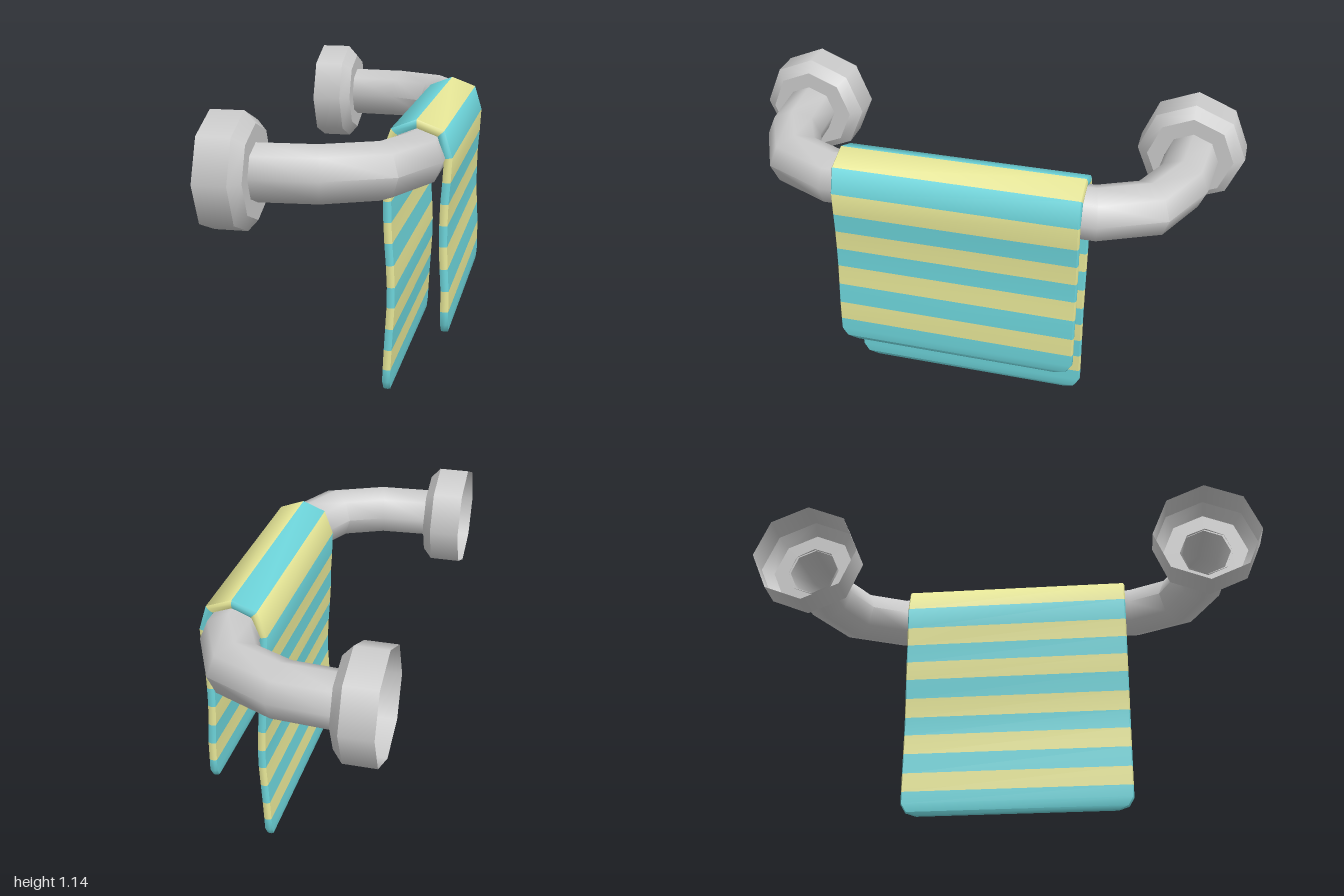
import * as THREE from 'three';
import { mergeGeometries, toCreasedNormals } from 'three/addons/utils/BufferGeometryUtils.js';

const grey = new THREE.MeshStandardMaterial({ color: 0xcccccc, side: THREE.DoubleSide });
const teal = new THREE.MeshStandardMaterial({ color: 0x6ed6dc });
const yellow = new THREE.MeshStandardMaterial({ color: 0xe8e898 });

// Sweep a cross-section along a path in the xy plane with mitred joints.
// section(i) returns [offset along the path normal, z] pairs, counter-clockwise.
function sweep(path, section, capped) {
  const pts = path.map(p => new THREE.Vector2(...p));
  const last = pts.length - 1;
  const dir = i => pts[i + 1].clone().sub(pts[i]).normalize();
  const rings = pts.map((p, i) => {
    const a = dir(Math.max(i - 1, 0)), b = dir(Math.min(i, last - 1));
    const t = a.clone().add(b).normalize();
    const miter = 1 / t.dot(a);
    return section(i).map(([n, z]) => [p.x - t.y * n * miter, p.y + t.x * n * miter, z]);
  });
  const out = [];
  const tri = (...corners) => corners.forEach(c => out.push(...c));
  const count = rings[0].length;
  for (let i = 0; i < last; i++) {
    for (let j = 0; j < count; j++) {
      const k = (j + 1) % count, A = rings[i], B = rings[i + 1];
      tri(A[j], A[k], B[k]);
      tri(A[j], B[k], B[j]);
    }
  }
  if (capped) {
    for (let j = 1; j < count - 1; j++) {
      tri(rings[0][0], rings[0][j + 1], rings[0][j]);
      tri(rings[last][0], rings[last][j], rings[last][j + 1]);
    }
  }
  const geo = new THREE.BufferGeometry();
  geo.setAttribute('position', new THREE.Float32BufferAttribute(out, 3));
  // enlarged while creasing so that close vertices stay distinct
  geo.scale(100, 100, 100);
  const creased = toCreasedNormals(geo, 0.95);
  creased.scale(0.01, 0.01, 0.01);
  return creased;
}

// Octagonal bar bending back to the wall at both ends
function makeBar() {
  const half = [[-0.24, 0.795], [-0.02, 0.78], [0.17, 0.692], [0.257, 0.505]];
  const path = [...half.map(([x, y]) => [x, -y]), ...half.slice().reverse()];
  const ring = [];
  for (let j = 0; j < 8; j++) {
    const a = j * Math.PI / 4;
    ring.push([0.104 * Math.cos(a), 0.104 * Math.sin(a)]);
  }
  // the path runs the other way round here, so turn it to start at the far end
  const geo = sweep(path.reverse(), () => ring, false);
  geo.rotateX(-Math.PI / 2);
  const bar = new THREE.Mesh(geo, grey);
  bar.name = 'bar';
  bar.position.y = 0.93;
  return bar;
}

// Hollow octagonal wall mount, open at the back, with a bevelled front rim
function makeWallMount(side) {
  const profile = [[0.21, -0.39], [0.21, -0.27], [0.168, -0.232], [0.1, -0.232]]
    .map(p => new THREE.Vector2(...p));
  const bands = [];
  for (let i = 0; i < profile.length - 1; i++) {
    bands.push(new THREE.LatheGeometry([profile[i], profile[i + 1]], 8));
  }
  const geo = mergeGeometries(bands);
  geo.rotateZ(-Math.PI / 2);
  const mount = new THREE.Mesh(geo, grey);
  mount.name = side > 0 ? 'frontWallMount' : 'backWallMount';
  mount.position.set(0, 0.93, side * 0.79);
  return mount;
}

// Striped towel: one path step per stripe, with extra steps rounding both hems
function makeTowel() {
  const path = [
    [0.15, 0], [0.15, 0.015], [0.15, 0.05],
    [0.152, 0.1], [0.156, 0.18], [0.161, 0.265], [0.166, 0.35], [0.167, 0.43],
    [0.163, 0.515], [0.157, 0.6], [0.153, 0.68], [0.152, 0.76], [0.147, 0.84],
    [0.144, 0.93], [0.176, 1.018], [0.257, 1.05], [0.344, 1.018], [0.371, 0.93],
    [0.366, 0.84], [0.36, 0.76], [0.358, 0.68], [0.358, 0.6], [0.362, 0.515],
    [0.367, 0.43], [0.367, 0.35],
    [0.367, 0.3], [0.367, 0.267], [0.367, 0.252],
  ];
  const hem = [[0.41, 0.007], [0.45, 0.013], [0.47, 0.015]]; // half width, half thickness
  const section = i => {
    const [w, t] = hem[Math.min(i, path.length - 1 - i, 2)];
    const b = 0.005, s = t * 0.4;
    return [[t, -w + b], [t, w - b], [s, w], [-s, w], [-t, w - b], [-t, -w + b], [-s, -w], [s, -w]];
  };
  const geo = sweep(path, section, true);

  // Share the faces out between the two stripe colours; caps belong to the teal hems
  const segments = path.length - 1, perSegment = 8 * 2 * 9;
  const towel = new THREE.Group();
  towel.name = 'towel';
  [['tealStripes', teal], ['yellowStripes', yellow]].forEach(([name, material], colour) => {
    const part = new THREE.BufferGeometry();
    for (const key of ['position', 'normal']) {
      const kept = Array.from(geo.attributes[key].array).filter((_, n) => {
        const seg = Math.floor(n / perSegment);
        const stripe = seg >= segments ? 0 : Math.min(Math.max(seg - 2, 0), segments - 5);
        return stripe % 2 === colour;
      });
      part.setAttribute(key, new THREE.Float32BufferAttribute(kept, 3));
    }
    const mesh = new THREE.Mesh(part, material);
    mesh.name = name;
    towel.add(mesh);
  });
  return towel;
}

export function createModel() {
  const model = new THREE.Group();
  model.name = 'towelRail';
  model.add(makeBar(), makeWallMount(1), makeWallMount(-1), makeTowel());
  return model;
}
